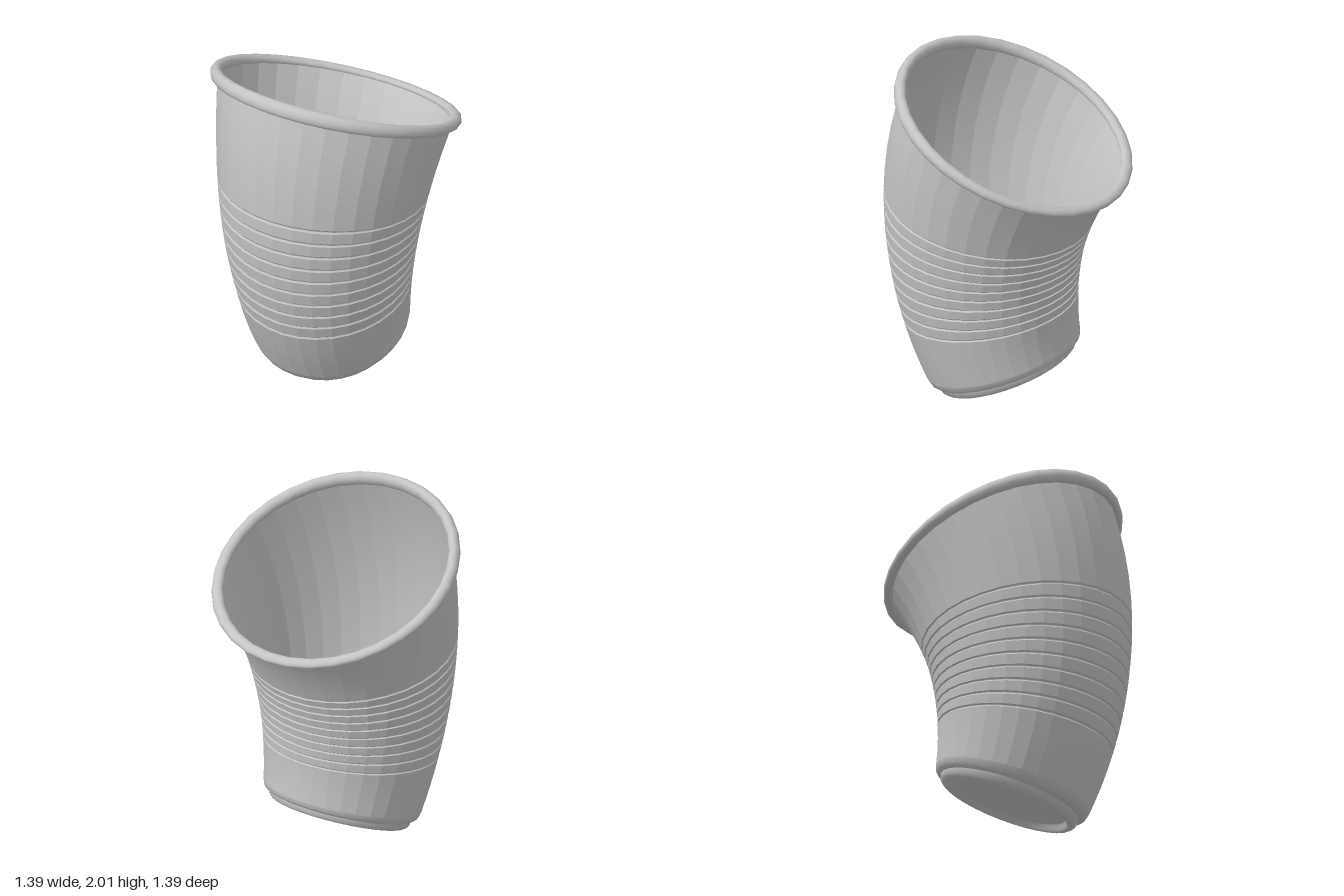
import * as THREE from 'three';
import { toCreasedNormals } from 'three/addons/utils/BufferGeometryUtils.js';

const SIDES = 32;
const BEND_RADIUS = 1.95; // radius of the arc the cup's axis follows
const BEND_CENTRE = 0.76; // axis height at which the cup stands level
const RIM_HEIGHT = 1.585;
const LEAN = new THREE.Vector3(1, 0, -1).normalize();

// Bends an upright geometry along an arc towards LEAN
function bend(geometry) {
  const pos = geometry.attributes.position;
  const v = new THREE.Vector3();
  for (let i = 0; i < pos.count; i++) {
    v.fromBufferAttribute(pos, i);
    const along = v.dot(LEAN);
    const angle = (v.y - BEND_CENTRE) / BEND_RADIUS;
    const reach = BEND_RADIUS - along;
    const shifted = BEND_RADIUS - reach * Math.cos(angle) - 0.155;
    v.addScaledVector(LEAN, shifted - along);
    v.y = 0.886 + reach * Math.sin(angle);
    pos.setXYZ(i, v.x, v.y, v.z);
  }
  return geometry;
}

// Turns a [radius, height] profile into a bent ring-shaped part
function turnedPart(name, profile, creaseDegrees, material) {
  const points = profile.map(([r, y]) => new THREE.Vector2(r, y));
  const geometry = bend(new THREE.LatheGeometry(points, SIDES));
  const mesh = new THREE.Mesh(
    toCreasedNormals(geometry, THREE.MathUtils.degToRad(creaseDegrees)), material);
  mesh.name = name;
  return mesh;
}

// Radius of the tapered wall at a height along the axis
const wallRadius = (y) => 0.452 + (y - 0.1) * 0.151;

export function createModel() {
  const group = new THREE.Group();
  group.name = 'bentCup';
  const plastic = new THREE.MeshStandardMaterial({ color: 0xc4c4c4, side: THREE.DoubleSide });
  plastic.name = 'greyPlastic';

  // Recessed floor and rounded foot
  group.add(turnedPart('floor', [[0, 0.035], [0.335, 0.035]], 30, plastic));
  group.add(turnedPart('foot', [
    [0.335, 0.035], [0.343, 0.03], [0.349, 0.01], [0.362, 0], [0.385, 0.004],
    [0.402, 0.018], [0.408, 0.048], [0.428, 0.056], [0.443, 0.07], [0.452, 0.1],
  ], 45, plastic));

  // Tapered outer wall with ten fine grooves
  const wall = [];
  const addWall = (y, inset = 0) => wall.push([wallRadius(y) - inset, y]);
  for (const y of [0.1, 0.17, 0.24, 0.31]) addWall(y);
  for (let i = 0; i < 10; i++) {
    const y = 0.764 + (i - 5) * 0.0713;
    addWall(y - 0.009);
    addWall(y - 0.002, 0.007);
    addWall(y + 0.002, 0.007);
    addWall(y + 0.009);
  }
  for (const y of [1.15, 1.26, 1.37, 1.48, RIM_HEIGHT]) addWall(y);
  group.add(turnedPart('wall', wall, 10, plastic));

  // Smooth inner wall
  const inner = [[wallRadius(0.1), 0.1]];
  for (let i = 1; i <= 14; i++) {
    const y = 0.1 + (i / 14) * (RIM_HEIGHT - 0.1);
    inner.push([wallRadius(y) - 0.01, y]);
  }
  group.add(turnedPart('innerWall', inner, 10, plastic));

  // Rolled rim
  const roll = [];
  for (let i = 0; i <= 12; i++) {
    const a = (i / 12) * Math.PI * 2;
    roll.push([0.687 + 0.033 * Math.cos(a), RIM_HEIGHT + 0.033 * Math.sin(a)]);
  }
  group.add(turnedPart('rim', roll, 60, plastic));

  return group;
}
